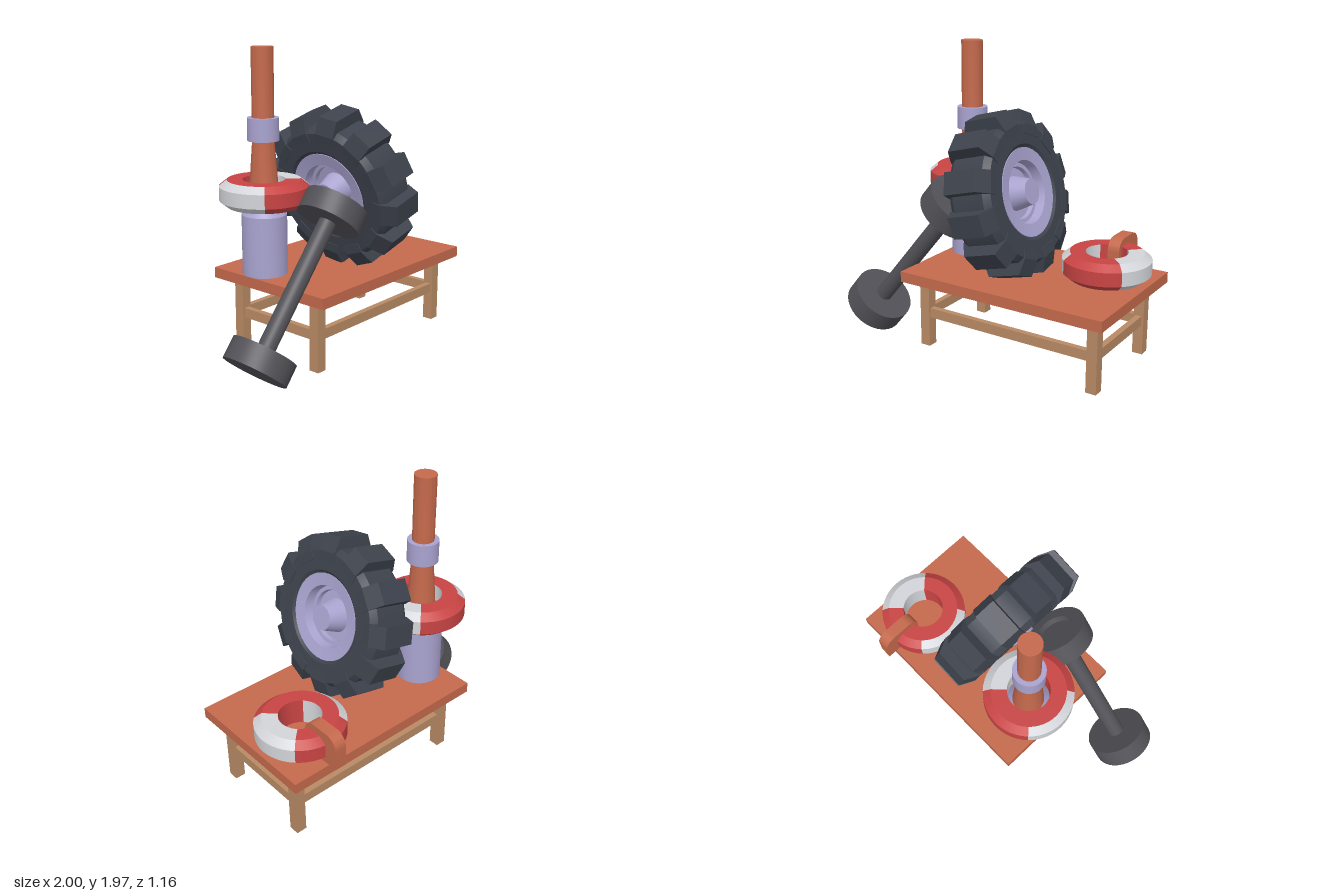
import * as THREE from 'three';
import { toCreasedNormals } from 'three/addons/utils/BufferGeometryUtils.js';

const mat = (color) => new THREE.MeshStandardMaterial({ color });
const wood = mat(0xb98a64), clay = mat(0xc4694c), lilac = mat(0xa9a3cf);
const rubber = mat(0x3d424c), iron = mat(0x525157), red = mat(0xc84444), white = mat(0xd2d4d9);

function mesh(name, geometry, material, x = 0, y = 0, z = 0) {
  const m = new THREE.Mesh(geometry, material);
  m.name = name;
  m.position.set(x, y, z);
  return m;
}

const box = (name, w, h, d, material, x, y, z) =>
  mesh(name, new THREE.BoxGeometry(w, h, d), material, x, y, z);

// Lathe from [radius, height] pairs with sharp profile edges
function lathe(points, segments = 48, start = 0, length = Math.PI * 2) {
  const profile = points.map(([r, y]) => new THREE.Vector2(r, y));
  return toCreasedNormals(new THREE.LatheGeometry(profile, segments, start, length), 0.4);
}

function createTable() {
  const g = new THREE.Group();
  g.name = 'table';
  g.add(box('tableTop', 1.45, 0.07, 0.94, clay, 0.275, 0.495, -0.05));
  const xs = [-0.34, 0.89], zs = [0.28, -0.375];
  for (const x of xs) {
    for (const z of zs) g.add(box('tableLeg', 0.07, 0.46, 0.07, wood, x, 0.23, z));
    g.add(box('sideStretcher', 0.04, 0.065, 0.6, wood, x, 0.232, -0.048));
  }
  for (const z of zs) g.add(box('longStretcher', 1.17, 0.065, 0.04, wood, 0.275, 0.232, z));
  return g;
}

function createPost() {
  const g = new THREE.Group();
  g.name = 'post';
  g.position.set(-0.305, 0, -0.2);
  g.add(mesh('postBase', lathe([[0, 0.53], [0.145, 0.53], [0.145, 0.92], [0.1, 0.98], [0, 0.98]]), lilac));
  g.add(mesh('postShaft', lathe([[0, 0.96], [0.102, 0.96], [0.07, 1.39], [0.07, 1.97], [0, 1.97]]), clay));
  g.add(mesh('postCollar', lathe([[0.068, 1.39], [0.1, 1.39], [0.1, 1.535], [0.068, 1.535]]), lilac));
  return g;
}

// Life ring made of four quarter sections
function createRing(x, y, z) {
  const g = new THREE.Group();
  g.name = 'lifeRing';
  g.position.set(x, y, z);
  const open = [[0.135, 0.085], [0.135, -0.085], [0.235, -0.085], [0.285, -0.045], [0.285, 0.045], [0.235, 0.085]];
  const top = [[0.235, 0.085], [0.135, 0.085]];
  for (let i = 0; i < 4; i++) {
    const start = -Math.PI / 4 + i * Math.PI / 2;
    g.add(mesh('ringSection', lathe(open, 12, start, Math.PI / 2), i % 2 ? white : red));
    g.add(mesh('ringTop', lathe(top, 12, start, Math.PI / 2), i === 1 ? white : red));
  }
  return g;
}

// Rounded strap block hooked over the back of the lying ring
function createStrap() {
  const s = new THREE.Shape();
  const a = 0.305, b = 0.585, y0 = 0.535, y1 = 0.755, r = 0.08;
  s.moveTo(a, y0);
  s.lineTo(b, y0);
  s.lineTo(b, y1 - r);
  s.absarc(b - r, y1 - r, r, 0, Math.PI / 2, false);
  s.absarc(a + r, y1 - r, r, Math.PI / 2, Math.PI, false);
  s.lineTo(a, y0);
  const geo = new THREE.ExtrudeGeometry(s, { depth: 0.08, bevelEnabled: false, curveSegments: 8 });
  geo.rotateY(Math.PI / 2);
  return mesh('ringStrap', toCreasedNormals(geo, 0.4), clay, 0.67, 0, 0);
}

// Heavy hammer-like dumbbell leaning on the table edge
function createDumbbell() {
  const g = new THREE.Group();
  g.name = 'dumbbell';
  const span = 1.012;
  g.add(mesh('lowerWeight', lathe([[0, -0.07], [0.206, -0.07], [0.206, 0.07], [0, 0.07]]), iron));
  g.add(mesh('upperWeight', lathe([[0, -0.07], [0.206, -0.07], [0.206, 0.07], [0.12, 0.07], [0.12, 0.03], [0, 0.03]]),
    iron, 0, span, 0));
  g.add(mesh('bar', lathe([[0.056, 0], [0.056, span]], 32), iron));
  g.position.set(-0.8, 0.195, 0.235);
  g.rotation.z = -0.698;
  return g;
}

function createWheel() {
  const g = new THREE.Group();
  g.name = 'wheel';
  g.add(mesh('tyre', lathe([[0.275, 0.13], [0.275, -0.13], [0.3, -0.15], [0.42, -0.15], [0.45, -0.11],
    [0.45, 0.11], [0.42, 0.15], [0.3, 0.15], [0.275, 0.13]]), rubber));

  // Tread lugs with sloped shoulders
  const lug = new THREE.Shape([[0.36, -0.155], [0.42, -0.158], [0.52, -0.113], [0.52, 0.113], [0.42, 0.158], [0.36, 0.155]]
    .map(([r, y]) => new THREE.Vector2(r, y)));
  const lugGeo = new THREE.ExtrudeGeometry(lug, { depth: 0.14, bevelEnabled: false });
  lugGeo.translate(0, 0, -0.07);
  const count = 12;
  for (let i = 0; i < count; i++) {
    const m = mesh('treadLug', lugGeo, rubber);
    m.rotation.y = 0.157 + i * Math.PI * 2 / count;
    g.add(m);
  }

  // Dished rim with a tapered hub, the same on both sides
  const half = [[0.28, 0.14], [0.2, 0.13], [0.19, 0.07], [0.165, 0.07], [0.16, 0.04], [0.11, 0.04], [0.08, 0.165], [0, 0.165]];
  const profile = [...half.map(([r, y]) => [r, -y]).reverse(), ...half];
  g.add(mesh('rim', lathe(profile), lilac));

  g.position.set(0.155, 1.06, 0.055);
  g.rotation.z = -Math.PI / 2 + 0.253;
  return g;
}

export function createModel() {
  const model = new THREE.Group();
  model.name = 'workoutTable';
  model.add(createTable(), createPost(), createRing(-0.305, 1.06, -0.198), createRing(0.712, 0.622, -0.212),
    createStrap(), createDumbbell(), createWheel());
  return model;
}
